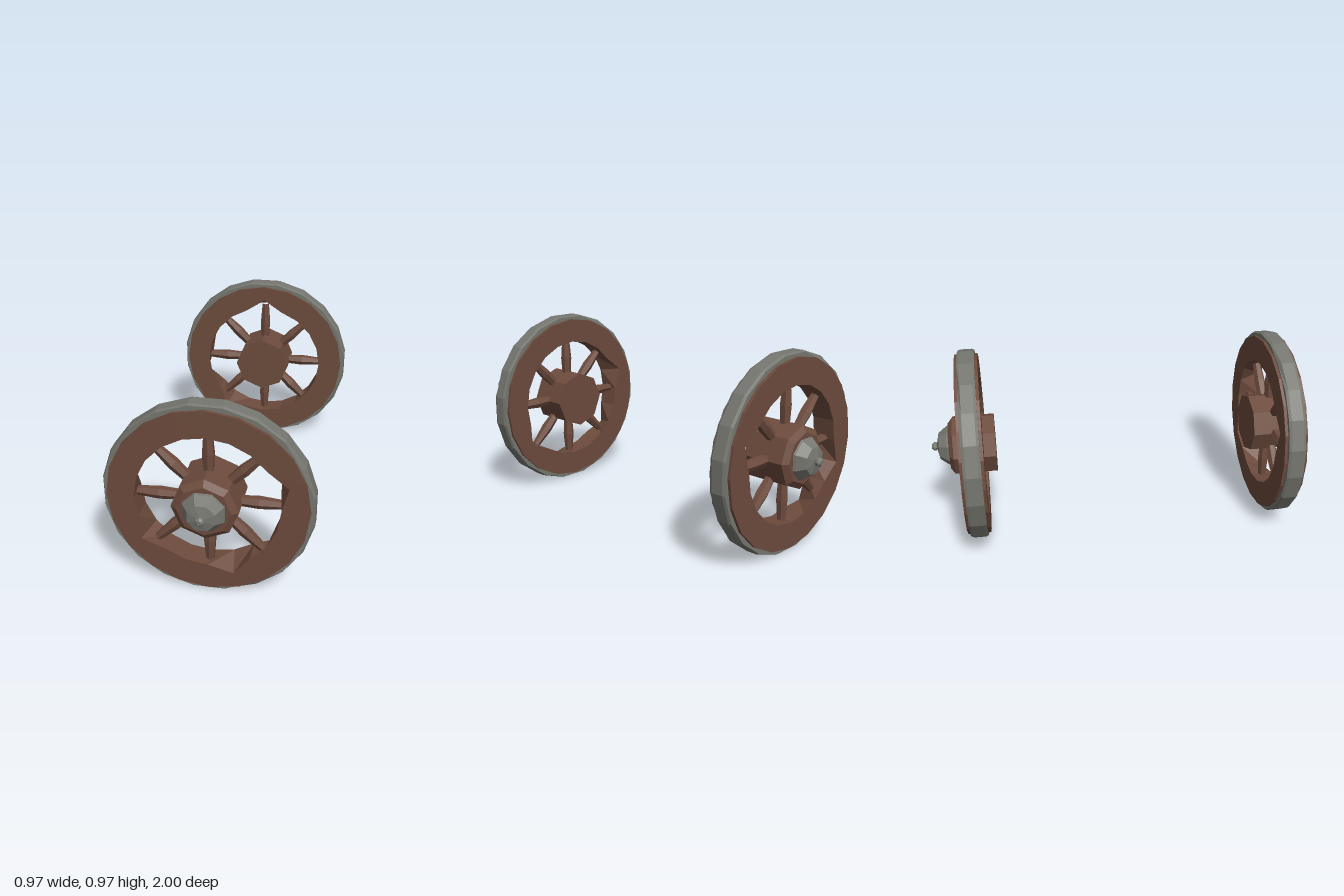
import * as THREE from 'three';

const wood = new THREE.MeshStandardMaterial({ color: 0x6d4b3d, flatShading: true });
wood.name = 'wood';
const iron = new THREE.MeshStandardMaterial({ color: 0x777771, flatShading: true });
iron.name = 'iron';

const SIDES = 20, RADIUS = 0.485, AXLE_Z = 0.79;

// Closed ring around z. profile: [radius, z] points, counter-clockwise with r right and z up.
// chips: [profile index, side index, new radius] moves single corners to look worn.
function ring(profile, startAngle, chips) {
  const corner = (i, k) => {
    const p = i % profile.length, s = k % SIDES;
    const chip = chips.find(c => c[0] === p && c[1] === s);
    const r = chip ? chip[2] : profile[p][0];
    const a = startAngle + (s / SIDES) * Math.PI * 2;
    return [r * Math.cos(a), r * Math.sin(a), profile[p][1]];
  };
  const pos = [];
  for (let k = 0; k < SIDES; k++) {
    for (let i = 0; i < profile.length; i++) {
      const a = corner(i, k), b = corner(i, k + 1), c = corner(i + 1, k + 1), d = corner(i + 1, k);
      pos.push(...a, ...b, ...c, ...a, ...c, ...d);
    }
  }
  const g = new THREE.BufferGeometry();
  g.setAttribute('position', new THREE.Float32BufferAttribute(pos, 3));
  g.computeVertexNormals();
  return g;
}

// Eight-sided turned part along +z; profile runs from back to front as [radius, z].
function turned(profile, spin) {
  const g = new THREE.LatheGeometry(profile.map(p => new THREE.Vector2(p[0], p[1])), 8);
  return g.rotateX(Math.PI / 2).rotateZ(spin).toNonIndexed();
}

function addMesh(parent, name, geometry, material) {
  const m = new THREE.Mesh(geometry, material);
  m.name = name;
  parent.add(m);
  return m;
}

// One wheel facing +z. Chips are given by side index.
function wheel(name, outerChips, innerChips, tireChips) {
  const g = new THREE.Group();
  g.name = name;

  // wooden rim: inner back, outer back, outer front, inner front
  const rimProfile = [[0.335, -0.058], [0.465, -0.058], [0.465, 0.058], [0.335, 0.058]];
  const rimChips = [...outerChips.map(k => [3, k, 0.387]), ...innerChips.map(k => [0, k, 0.387])];
  addMesh(g, 'rim', ring(rimProfile, 0, rimChips), wood);

  // iron tire with bevelled lips
  const tireProfile = [[0.45, -0.043], [0.483, -0.043], [0.489, -0.03],
    [0.489, 0.03], [0.483, 0.043], [0.45, 0.043]];
  addMesh(g, 'tire', ring(tireProfile, Math.PI / SIDES, tireChips), iron);

  // hub with a chamfered front
  addMesh(g, 'hub', turned([[0, -0.115], [0.155, -0.115], [0.155, 0.098],
    [0.125, 0.12], [0, 0.12]], 0), wood);

  // hub cap and end knob
  addMesh(g, 'hubCap', turned([[0.106, 0.115], [0.1, 0.13], [0.068, 0.172], [0, 0.187]], Math.PI / 8), iron);
  addMesh(g, 'capKnob', turned([[0.012, 0.178], [0.022, 0.187], [0.022, 0.2], [0.012, 0.21], [0, 0.21]], 0), iron);

  // eight spokes, thickest in the middle
  const spokeProfile = [[0.024, 0.13], [0.03, 0.23], [0.02, 0.35]].map(p => new THREE.Vector2(...p));
  const spoke = new THREE.LatheGeometry(spokeProfile, 6).toNonIndexed();
  for (let i = 0; i < 8; i++) {
    addMesh(g, 'spoke', spoke, wood).rotation.z = (i * Math.PI) / 4;
  }
  return g;
}

export function createModel() {
  const model = new THREE.Group();
  model.name = 'wheelPair';

  const front = wheel('frontWheel', [1, 12, 16], [18, 9], [[4, 1, 0.468], [4, 16, 0.468], [1, 6, 0.47]]);
  front.position.set(0, RADIUS, AXLE_Z);

  const back = wheel('backWheel', [9, 19], [5, 17], [[4, 3, 0.468], [1, 11, 0.47]]);
  back.position.set(0, RADIUS, -AXLE_Z);
  back.rotation.y = Math.PI;

  model.add(front, back);
  return model;
}
